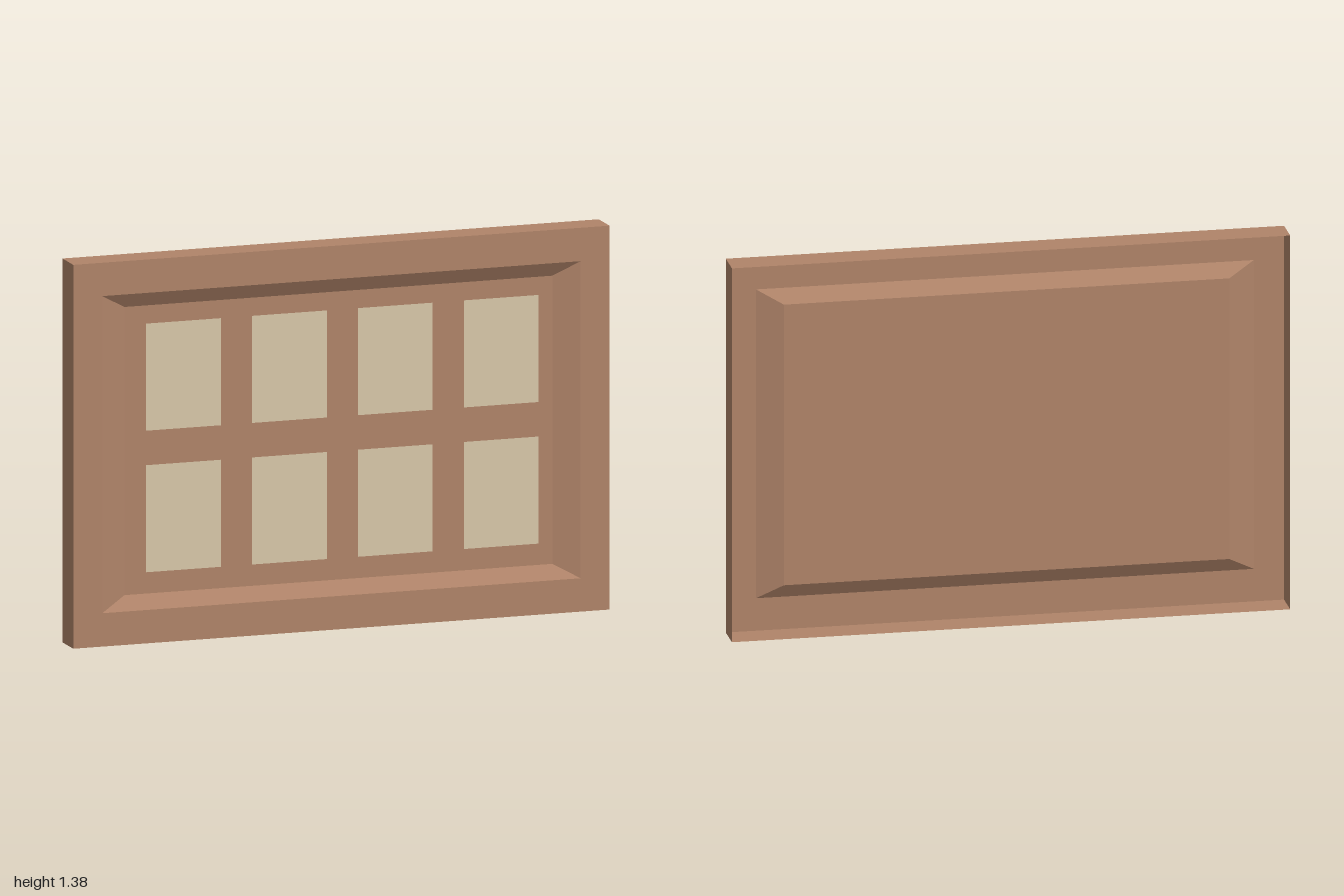
import * as THREE from 'three';

const HEIGHT = 1.38;
const FRONT = 0.0575;      // front plane of the frame
const RECESS = 0.032;      // depth of the sunken panel

// Flat-shaded strip joining two upright rectangles [halfWidth, halfHeight, z]
function rectBand(outer, inner) {
  const corners = ([w, h, z]) => [[-w, -h, z], [w, -h, z], [w, h, z], [-w, h, z]];
  const a = corners(outer), b = corners(inner);
  const points = [];
  for (let i = 0; i < 4; i++) {
    const j = (i + 1) % 4;
    points.push(...a[i], ...a[j], ...b[j], ...a[i], ...b[j], ...b[i]);
  }
  const geometry = new THREE.BufferGeometry();
  geometry.setAttribute('position', new THREE.Float32BufferAttribute(points, 3));
  geometry.computeVertexNormals();
  return geometry;
}

export function createModel() {
  const model = new THREE.Group();
  model.name = 'panelledWindow';

  const wood = new THREE.MeshStandardMaterial({ color: 0xb08469, side: THREE.DoubleSide });
  wood.name = 'brown wood';
  const glass = new THREE.MeshStandardMaterial({ color: 0xd8c7a9 });
  glass.name = 'pale pane';

  const add = (name, geometry, material, x, y, z) => {
    const mesh = new THREE.Mesh(geometry, material);
    mesh.name = name;
    mesh.position.set(x, y, z);
    model.add(mesh);
  };

  // Open-backed shell: side walls, front border, sloped recess
  const sections = [
    [1, HEIGHT / 2, -FRONT],
    [1, HEIGHT / 2, FRONT],
    [0.892, 0.57, FRONT],
    [0.798, 0.518, FRONT - RECESS],
  ];
  ['sideWalls', 'frontBorder', 'recessBevel'].forEach((name, i) =>
    add(name, rectBand(sections[i], sections[i + 1]), wood, 0, HEIGHT / 2, 0));

  // Sunken panel
  add('sunkenPanel', new THREE.PlaneGeometry(1.596, 1.036), wood, 0, HEIGHT / 2, FRONT - RECESS);

  // Two rows of four panes
  const pane = new THREE.PlaneGeometry(0.279, 0.385);
  for (let row = 0; row < 2; row++) {
    for (let col = 0; col < 4; col++) {
      add(`pane${row * 4 + col + 1}`, pane, glass,
        -0.581 + col * 0.395, 0.952 - row * 0.509, FRONT - RECESS + 0.009);
    }
  }
  return model;
}
